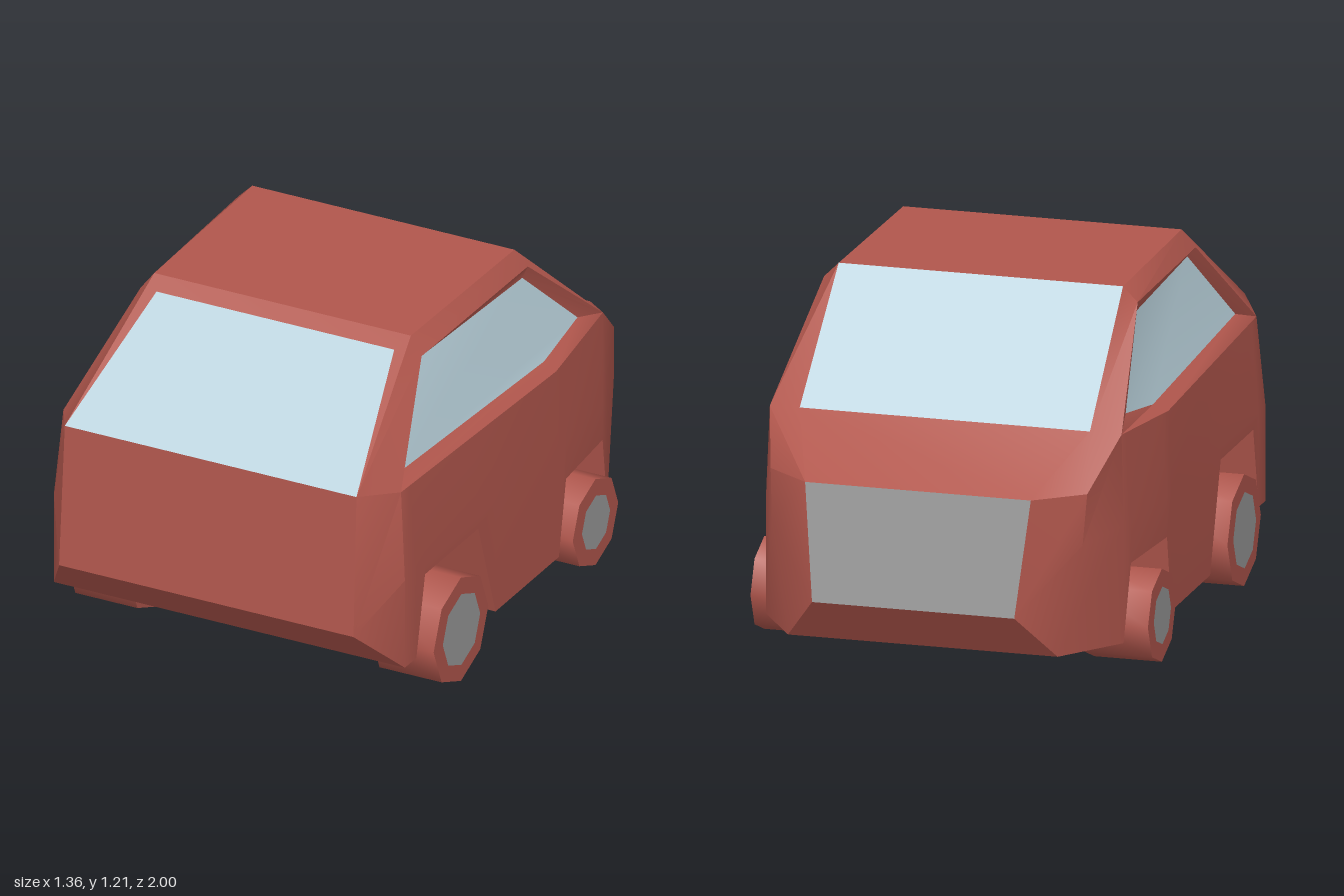
import * as THREE from 'three';
import { toCreasedNormals } from 'three/addons/utils/BufferGeometryUtils.js';

const paint = new THREE.MeshStandardMaterial({ color: 0xb0564c, side: THREE.DoubleSide });
const glass = new THREE.MeshStandardMaterial({ color: 0xb8d0da, side: THREE.DoubleSide });
const grey = new THREE.MeshStandardMaterial({ color: 0x999999, side: THREE.DoubleSide });

const mirror = ([x, y, z]) => [-x, y, z];

// Collects polygons; panels are added on both sides, spans run across the car
class Skin {
  constructor() { this.data = []; }
  poly(pts) {
    for (let i = 1; i < pts.length - 1; i++) this.data.push(...pts[0], ...pts[i], ...pts[i + 1]);
  }
  panel(...pts) {
    this.poly(pts);
    this.poly(pts.map(mirror).reverse());
  }
  span(a, b) { this.poly([a, b, mirror(b), mirror(a)]); }
  mesh(name, material) {
    const g = new THREE.BufferGeometry();
    g.setAttribute('position', new THREE.Float32BufferAttribute(this.data, 3));
    const m = new THREE.Mesh(toCreasedNormals(g, 0.6), material);
    m.name = name;
    return m;
  }
}

// Key points of the left half, [x, y, z]
const roofRear = [0.475, 1.21, 0.47], roofFront = [0.485, 1.21, -0.23];
const screenBase = [0.495, 0.83, -0.64];
const hatchTop = [0.44, 1.173, 0.52], tailTop = [0.54, 0.86, 0.97], tailBase = [0.545, 0.36, 1.0];
const noseTop = [0.385, 0.67, -0.945], noseBase = [0.345, 0.28, -1.0];

// Side window opening and its recessed pane, in matching order
const frame = [[0.625, 0.83, 0.82], [0.64, 0.8, -0.23], [0.6, 0.825, -0.63], [0.535, 1.16, -0.23], [0.52, 1.15, 0.48]];
const pane = [[0.575, 0.855, 0.745], [0.59, 0.82, -0.24], [0.575, 0.86, -0.5], [0.525, 1.125, -0.21], [0.495, 1.125, 0.46]];

// Point on the belt line at a given z
function belt(z) {
  const [a, b] = z > frame[1][2] ? [frame[0], frame[1]] : [frame[1], frame[2]];
  const t = THREE.MathUtils.clamp((z - a[2]) / (b[2] - a[2]), 0, 1);
  return a.map((v, i) => v + (b[i] - v) * t);
}

// Lower side columns with wheel arches: half width, bottom edge y, z
const sill = [
  [0.65, 0.2, 0.84], [0.65, 0.2, 0.76], [0.65, 0.48, 0.7], [0.65, 0.48, 0.33], [0.65, 0.12, 0.21],
  [0.65, 0.12, -0.23], [0.65, 0.385, -0.28], [0.62, 0.38, -0.59], [0.61, 0.12, -0.64], [0.46, 0.13, -0.89],
];
const columns = sill.map((p, i) => {
  if (i === sill.length - 1) return [p, [0.53, 0.5, -0.84], [0.54, 0.67, -0.82]];
  const top = i === 0 ? frame[0] : belt(p[2]);
  return [p, [p[0], 0.52, p[2]], top];
});

function buildBody() {
  const s = new Skin();
  const first = columns[0], last = columns[columns.length - 1];
  // Doors, fenders and floor
  for (let i = 0; i < columns.length - 1; i++) {
    const a = columns[i], b = columns[i + 1];
    for (let r = 0; r < 2; r++) s.panel(a[r], b[r], b[r + 1], a[r + 1]);
    s.span(b[0], a[0]);
  }
  // Tail corners, tail panel and sloped lower edge
  s.panel(tailBase, first[0], first[1]);
  s.panel(tailBase, first[1], first[2], tailTop);
  s.span(first[0], tailBase);
  s.span(tailBase, tailTop);
  // Nose corners, bumper and hood
  s.panel(last[0], noseBase, last[1]);
  s.panel(last[1], noseBase, noseTop, last[2]);
  s.span(noseBase, last[0]);
  s.span(screenBase, noseTop);
  s.panel(frame[2], last[2], noseTop, screenBase);
  // Roof, shoulders and pillars
  s.span(roofRear, roofFront);
  s.span(hatchTop, roofRear);
  s.panel(tailTop, roofRear, hatchTop);
  s.panel(frame[4], frame[3], roofFront, roofRear);
  s.panel(tailTop, frame[0], frame[4], roofRear);
  s.panel(frame[2], screenBase, roofFront, frame[3]);
  // Reveals around the side windows
  frame.forEach((p, i) => {
    const j = (i + 1) % frame.length;
    s.panel(p, frame[j], pane[j], pane[i]);
  });
  return s.mesh('body', paint);
}

function acrossMesh(name, a, b, material) {
  const s = new Skin();
  s.span(a, b);
  return s.mesh(name, material);
}

// Eight-sided wheel with a flat hub disc on its outer face
function wheel(name, side, z, radius, hubRadius) {
  const g = new THREE.Group();
  g.name = name;
  const tyreGeo = new THREE.CylinderGeometry(radius, radius, 0.23, 8).rotateZ(-Math.PI / 2);
  const tyre = new THREE.Mesh(toCreasedNormals(tyreGeo, 0.9), paint);
  tyre.name = 'tyre';
  const hub = new THREE.Mesh(new THREE.CircleGeometry(hubRadius, 8).rotateY(Math.PI / 2), grey);
  hub.name = 'hub';
  hub.position.x = 0.117;
  g.add(tyre, hub);
  g.position.set(side * 0.563, radius + 0.005, z);
  if (side < 0) g.rotation.y = Math.PI;
  return g;
}

export function createModel() {
  const car = new THREE.Group();
  car.name = 'car';
  car.add(buildBody());
  car.add(acrossMesh('hatchWindow', tailTop, hatchTop, glass));
  car.add(acrossMesh('windshield', roofFront, screenBase, glass));
  car.add(acrossMesh('grille', noseTop, noseBase, grey));

  const panes = new Skin();
  panes.panel(...pane);
  car.add(panes.mesh('sideWindows', glass));

  for (const side of [1, -1]) {
    const label = side > 0 ? 'left' : 'right';
    car.add(wheel(label + 'LargeWheel', side, 0.503, 0.19, 0.13));
    car.add(wheel(label + 'SmallWheel', side, -0.432, 0.158, 0.098));
  }
  return car;
}
